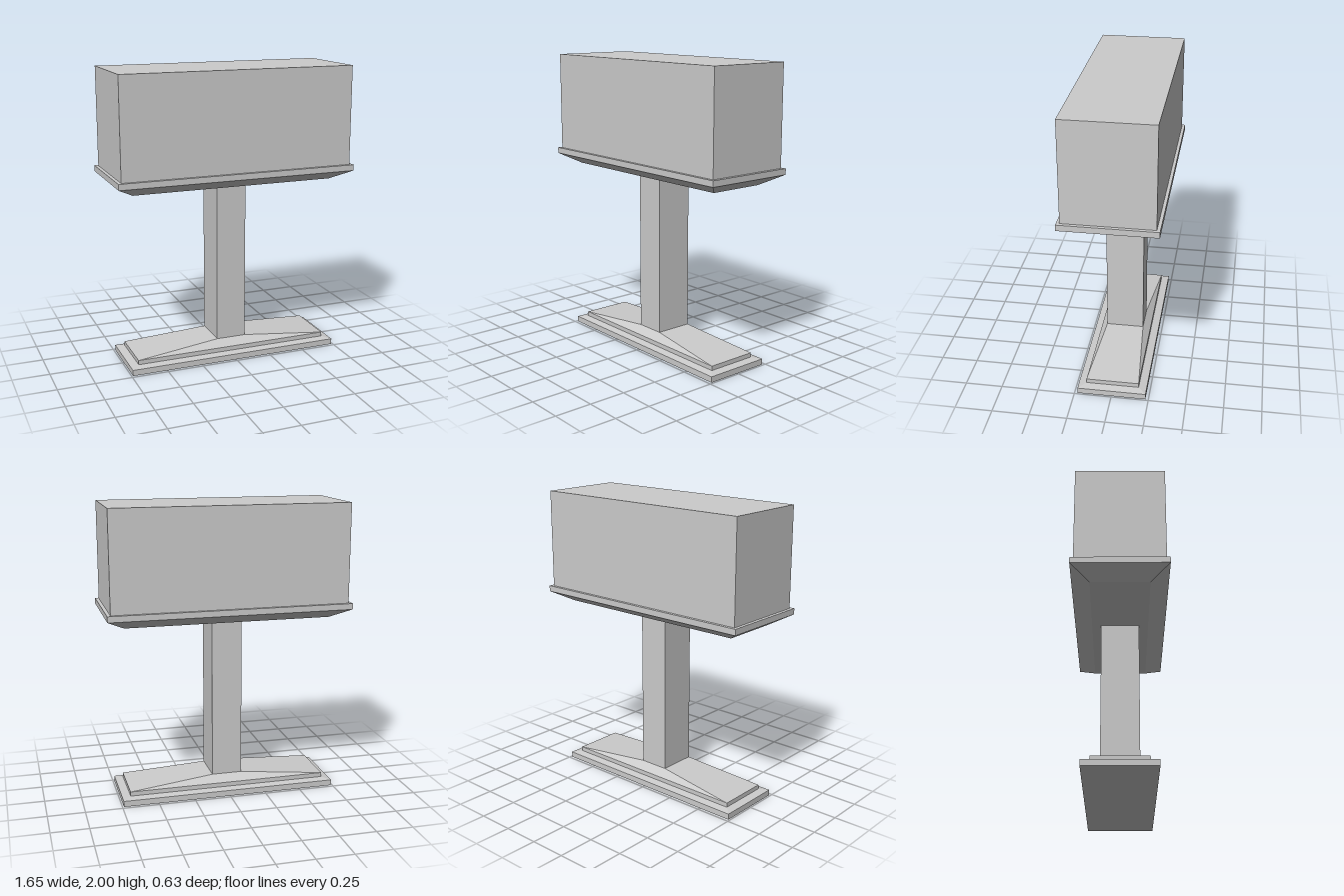
import * as THREE from 'three';

const material = new THREE.MeshStandardMaterial({ color: 0xcccccc, flatShading: true });

// Rectangular block from y0 to y1, with separate half sizes [x, z] at bottom and top
function block(name, y0, y1, bottom, top = bottom) {
  const geometry = new THREE.BoxGeometry(2, 2, 2);
  const p = geometry.attributes.position;
  for (let i = 0; i < p.count; i++) {
    const up = p.getY(i) > 0;
    const [hx, hz] = up ? top : bottom;
    p.setXYZ(i, p.getX(i) * hx, up ? y1 : y0, p.getZ(i) * hz);
  }
  geometry.computeVertexNormals();
  const mesh = new THREE.Mesh(geometry, material);
  mesh.name = name;
  return mesh;
}

export function createModel() {
  const model = new THREE.Group();
  model.name = 'pedestalSign';

  const plate = [0.74, 0.23];
  const step = [0.685, 0.177];
  const column = [0.103, 0.13];
  const tray = [0.823, 0.315];

  // Stepped foot rising to the column
  const foot = new THREE.Group();
  foot.name = 'foot';
  foot.add(
    block('footPlate', 0, 0.04, plate),
    block('footBevel', 0.04, 0.05, plate, step),
    block('footStep', 0.05, 0.08, step),
    block('footSlope', 0.08, 0.13, step, column)
  );

  // Flared tray that carries the box
  const support = new THREE.Group();
  support.name = 'tray';
  support.add(
    block('trayFlare', 1.22, 1.29, [0.7, 0.192], tray),
    block('trayRim', 1.29, 1.33, tray)
  );

  model.add(
    foot,
    block('column', 0.13, 1.22, column),
    support,
    block('upperBox', 1.33, 2, [0.8, 0.294])
  );
  return model;
}
